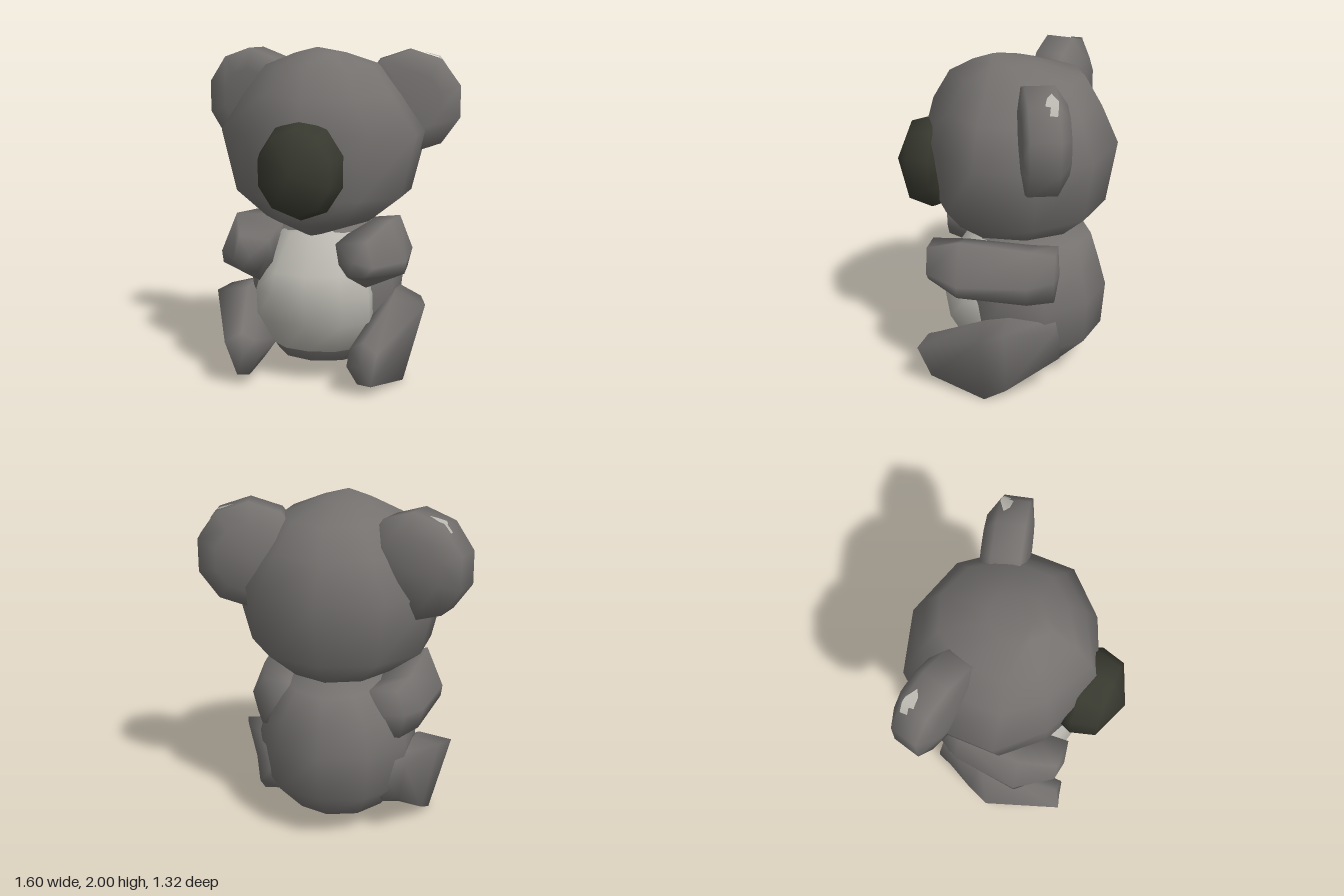
import * as THREE from 'three';

const mat = (name, color, side = THREE.FrontSide) => {
  const m = new THREE.MeshStandardMaterial({ color, side });
  m.name = name;
  return m;
};

// Closed smooth skin over rings of [x, y, z] points; start and end are the cap centres
function loft(rings, start, end) {
  const n = rings[0].length;
  const pos = [...rings.flat(), start, end].flat();
  const a = rings.length * n, b = a + 1, idx = [];
  for (let j = 0; j < n; j++) {
    const k = (j + 1) % n, last = (rings.length - 1) * n;
    idx.push(a, k, j, b, last + j, last + k);
    for (let i = 0; i < rings.length - 1; i++) {
      const p = i * n + j, q = i * n + k;
      idx.push(p, q, q + n, p, q + n, p + n);
    }
  }
  // Turn the faces outward if the enclosed volume is negative
  const v = i => new THREE.Vector3().fromArray(pos, i * 3);
  let volume = 0;
  for (let i = 0; i < idx.length; i += 3) volume += v(idx[i]).dot(v(idx[i + 1]).cross(v(idx[i + 2])));
  if (volume < 0) idx.reverse();
  const g = new THREE.BufferGeometry();
  g.setAttribute('position', new THREE.Float32BufferAttribute(pos, 3));
  g.setIndex(idx);
  g.computeVertexNormals();
  return g;
}

const circle = f => Array.from({ length: 10 }, (_, i) => f(i / 10 * Math.PI * 2, i));

// Rounded mass from levels of [y, half width, front z, back z];
// pinch draws in the two columns beside the front one
function blob(levels, bottom, top, pinch = 0) {
  const rings = levels.map(([y, w, f, b]) => circle((t, i) => [
    Math.sin(t) * w / 0.951, y,
    (f + b) / 2 + Math.cos(t) * (f - b) / 2 - (i === 1 || i === 9 ? pinch : 0),
  ]));
  return loft(rings, bottom, top);
}

// Solid turned about the z axis from [radius, z] points, closed at back and front
function turned(profile, back, front) {
  const rings = profile.map(([r, z]) => circle(t => [Math.sin(t) * r, Math.cos(t) * r, z]));
  return loft(rings, [0, 0, back], [0, 0, front]);
}

// Limb from cross-sections of z and six [x, y, optional z shift] corners
function limb(sections, back, front) {
  return loft(sections.map(([z, ...p]) => p.map(([x, y, dz = 0]) => [x, y, z + dz])), back, front);
}

export function createModel() {
  const model = new THREE.Group();
  model.name = 'bear';
  const fur = mat('grey fur', 0x74716f);
  const pale = mat('pale fur', 0xbab8b0);
  const patchMat = mat('pale ear fur', 0xbab8b0, THREE.DoubleSide);
  const dark = mat('dark nose', 0x38392f);

  const add = (parent, name, geometry, material) => {
    const m = new THREE.Mesh(geometry, material);
    m.name = name;
    parent.add(m);
    return m;
  };

  add(model, 'head', blob([
    [0.98, 0.32, 0.37, -0.45], [1.13, 0.51, 0.45, -0.6], [1.5, 0.6, 0.49, -0.66],
    [1.72, 0.455, 0.43, -0.56], [1.89, 0.33, 0.33, -0.46], [1.965, 0.14, 0.19, -0.18],
  ], [0, 0.89, 0.2], [0, 2, 0.08], 0.05), fur);

  add(model, 'body', blob([
    [0.12, 0.28, 0.2, -0.43], [0.3, 0.42, 0.28, -0.6], [0.57, 0.45, 0.3, -0.62],
    [0.75, 0.4, 0.26, -0.57], [0.91, 0.28, 0.18, -0.52],
  ], [0, 0.06, -0.05], [0, 0.97, -0.15]), fur);

  add(model, 'belly', blob([
    [0.2, 0.25, 0.27, -0.1], [0.38, 0.35, 0.36, -0.15], [0.55, 0.35, 0.39, -0.15],
    [0.68, 0.32, 0.36, -0.15], [0.9, 0.22, 0.22, -0.15],
  ], [0, 0.16, 0.1], [0, 0.94, 0.05]), pale);

  const nose = add(model, 'nose', turned([[0.23, 0.35], [0.26, 0.42], [0.22, 0.565]], 0.34, 0.66), dark);
  nose.scale.y = 1.12;
  nose.position.y = 1.32;

  const armGeo = limb([
    [-0.35, [0.4, 0.93], [0.45, 0.78], [0.42, 0.64], [0.3, 0.63], [0.22, 0.72], [0.24, 0.92]],
    [-0.2, [0.45, 0.97], [0.53, 0.77], [0.5, 0.65], [0.34, 0.63], [0.24, 0.72], [0.27, 0.93]],
    [0.2, [0.47, 1.01], [0.57, 0.77], [0.56, 0.7], [0.33, 0.6], [0.24, 0.72], [0.22, 0.92]],
    [0.41, [0.38, 0.92], [0.42, 0.77], [0.37, 0.71], [0.27, 0.71], [0.22, 0.78], [0.2, 0.9]],
  ], [0.33, 0.78, -0.37], [0.31, 0.8, 0.43]);
  const legGeo = limb([
    [-0.36, [0.36, 0.52], [0.46, 0.46], [0.43, 0.27, -0.03], [0.33, 0.22], [0.25, 0.3], [0.27, 0.46]],
    [-0.08, [0.45, 0.53], [0.61, 0.5], [0.51, 0.06], [0.36, 0.08], [0.27, 0.2], [0.36, 0.47]],
    [0.05, [0.46, 0.51], [0.66, 0.48], [0.53, 0.0], [0.36, 0.06], [0.26, 0.2], [0.36, 0.43]],
    [0.42, [0.37, 0.33, 0.0], [0.46, 0.28, 0.05], [0.41, 0.06, -0.02], [0.33, 0.07, -0.02], [0.27, 0.18], [0.29, 0.29]],
  ], [0.35, 0.37, -0.38], [0.36, 0.19, 0.44]);

  // Ear with a small pale patch folded over its upper rim
  const earGeo = turned([[0.2, -0.12], [0.31, -0.05], [0.31, 0.115], [0.18, 0.14]], -0.14, 0.145);
  const patch = [
    [0.56, 1.962, -0.33], [0.6, 1.949, -0.31], [0.65, 1.935, -0.31], [0.69, 1.882, -0.31],
    [0.69, 1.882, -0.38], [0.65, 1.935, -0.38], [0.62, 1.943, -0.375],
  ];
  const patchGeo = new THREE.BufferGeometry();
  patchGeo.setAttribute('position', new THREE.Float32BufferAttribute(patch.flat(), 3));
  patchGeo.setIndex([0, 1, 2, 0, 2, 5, 0, 5, 6, 2, 3, 4, 2, 4, 5]);
  patchGeo.computeVertexNormals();

  for (const [side, s] of [['left', 1], ['right', -1]]) {
    const half = new THREE.Group();
    half.name = side + 'Side';
    half.scale.x = s;
    model.add(half);
    add(half, side + 'Arm', armGeo, fur);
    add(half, side + 'Leg', legGeo, fur);
    const ear = add(half, side + 'Ear', earGeo, fur);
    ear.position.set(0.485, 1.67, -0.29);
    ear.rotation.y = 0.25;
    add(half, side + 'EarPatch', patchGeo, patchMat);
  }
  return model;
}
